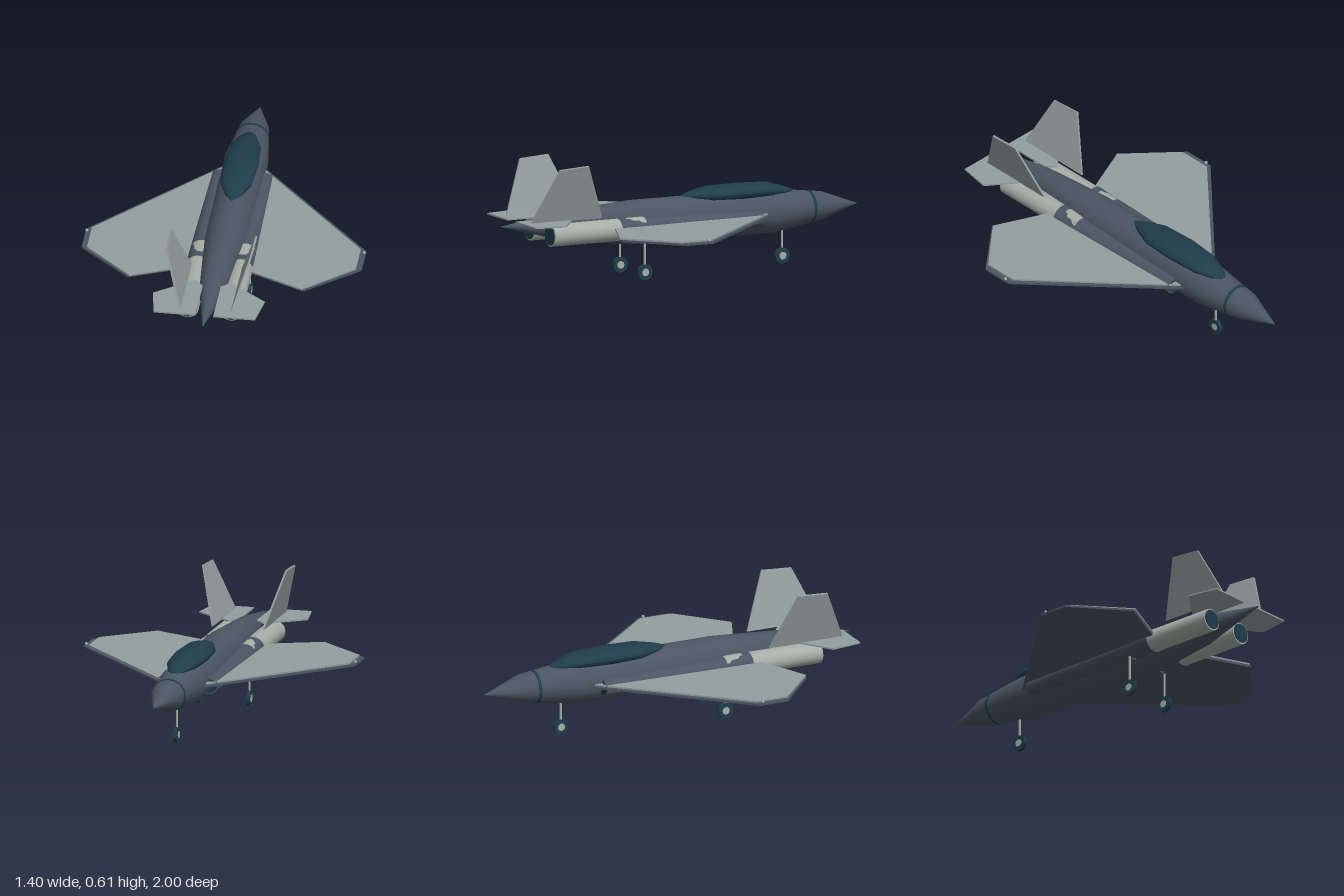
import * as THREE from 'three';
import { toCreasedNormals } from 'three/addons/utils/BufferGeometryUtils.js';

const mat = (name, color) => {
  const m = new THREE.MeshStandardMaterial({ color });
  m.name = name;
  return m;
};

// Closed skin through elliptical rings [z, cx, cy, rx, ry] in order of rising z
function loft(rings, sides = 20) {
  const pos = [], idx = [];
  for (const [z, cx, cy, rx, ry] of rings) {
    for (let j = 0; j < sides; j++) {
      const a = (j / sides) * Math.PI * 2;
      pos.push(cx + rx * Math.cos(a), cy + ry * Math.sin(a), z);
    }
  }
  for (let i = 0; i < rings.length - 1; i++) {
    for (let j = 0; j < sides; j++) {
      const a = i * sides + j, b = i * sides + (j + 1) % sides;
      idx.push(a, b, a + sides, b, b + sides, a + sides);
    }
  }
  const last = rings.length - 1;
  for (const i of [0, last]) {
    const [z, cx, cy] = rings[i];
    const c = pos.length / 3;
    pos.push(cx, cy, z);
    for (let j = 0; j < sides; j++) {
      const a = i * sides + j, b = i * sides + (j + 1) % sides;
      if (i === 0) idx.push(c, b, a);
      else idx.push(c, a, b);
    }
  }
  const g = new THREE.BufferGeometry();
  g.setAttribute('position', new THREE.Float32BufferAttribute(pos, 3));
  g.setIndex(idx);
  return toCreasedNormals(g, 0.5);
}

const extrude = (pts, depth) => new THREE.ExtrudeGeometry(
  new THREE.Shape(pts.map(([x, y]) => new THREE.Vector2(x, y))),
  { depth, bevelEnabled: false });

// Horizontal plate from an (x, z) outline, mirrored by s
const plate = (pts, s, top, thick) =>
  extrude(pts.map(([x, z]) => [s * x, z]), thick).rotateX(Math.PI / 2).translate(0, top, 0);

export function createModel() {
  const slate = mat('slate hull', 0x4b5563);
  const teal = mat('dark teal', 0x1f3d4a);
  const grey = mat('light grey panel', 0x949e9f);
  const metal = mat('pale metal', 0xa6aea8);

  const root = new THREE.Group();
  root.name = 'jet';
  const add = (name, geo, material, parent = root) => {
    const m = new THREE.Mesh(geo, material);
    m.name = name;
    parent.add(m);
    return m;
  };

  // Fuselage, nose pointing to -z
  add('fuselage', loft([
    [-1, 0, 0.27, 0.001, 0.001],
    [-0.8, 0, 0.275, 0.074, 0.07],
    [-0.52, 0, 0.27, 0.11, 0.11],
    [0.26, 0, 0.272, 0.105, 0.112],
    [0.64, 0, 0.284, 0.068, 0.077],
    [1, 0, 0.305, 0.001, 0.001],
  ]), slate);
  add('noseBand', loft([
    [-0.735, 0, 0.274, 0.0845, 0.0815],
    [-0.72, 0, 0.274, 0.0865, 0.0835],
  ]), teal);
  add('canopy', loft([
    [-0.635, 0, 0.362, 0.015, 0.008],
    [-0.6, 0, 0.366, 0.04, 0.018],
    [-0.5, 0, 0.376, 0.075, 0.04],
    [-0.33, 0, 0.379, 0.088, 0.043],
    [-0.16, 0, 0.379, 0.078, 0.041],
    [-0.06, 0, 0.378, 0.04, 0.022],
    [0, 0, 0.376, 0.003, 0.006],
  ]), teal);

  // Wheel, hub and strut
  function gear(name, x, z, top) {
    const g = new THREE.Group();
    g.name = name;
    g.position.set(x, 0, z);
    root.add(g);
    add('tyre', new THREE.CylinderGeometry(0.04, 0.04, 0.018, 20).rotateZ(Math.PI / 2).translate(0, 0.04, 0), teal, g);
    add('hub', new THREE.CylinderGeometry(0.019, 0.019, 0.022, 16).rotateZ(Math.PI / 2).translate(0, 0.04, 0), metal, g);
    add('strut', new THREE.CylinderGeometry(0.006, 0.006, top - 0.05, 10).translate(0, (top + 0.05) / 2, 0), metal, g);
  }
  gear('noseGear', 0, -0.58, 0.22);

  for (const s of [1, -1]) {
    const side = s > 0 ? 'left' : 'right';

    // Engine duct, exhaust pipe and dark openings
    add(side + 'Nacelle', loft([
      [-0.4, s * 0.11, 0.252, 0.05, 0.041],
      [0.4, s * 0.108, 0.26, 0.061, 0.057],
    ]), slate);
    add(side + 'Intake', loft([
      [-0.404, s * 0.11, 0.252, 0.043, 0.034],
      [-0.398, s * 0.11, 0.252, 0.043, 0.034],
    ]), teal);
    add(side + 'Engine', loft([
      [0.26, s * 0.108, 0.26, 0.057, 0.0558],
      [0.78, s * 0.108, 0.26, 0.057, 0.0558],
    ]), metal);
    add(side + 'Nozzle', loft([
      [0.776, s * 0.108, 0.26, 0.05, 0.049],
      [0.784, s * 0.108, 0.26, 0.05, 0.049],
    ]), teal);

    // Wing: slate base with a lighter panel on top
    add(side + 'Wing', plate([
      [0.08, -0.49], [0.11, -0.465], [0.7, 0.175], [0.7, 0.335], [0.44, 0.557], [0.12, 0.42], [0.08, 0.42],
    ], s, 0.269, 0.01), slate);
    add(side + 'WingPanel', plate([
      [0.09, -0.465], [0.11, -0.443], [0.672, 0.172], [0.672, 0.345], [0.43, 0.56], [0.12, 0.425], [0.09, 0.425],
    ], s, 0.277, 0.008), grey);
    add(side + 'WingTipLight', new THREE.SphereGeometry(0.008, 12, 8).translate(s * 0.693, 0.276, 0.2), metal);

    // Tailplane
    add(side + 'Tailplane', plate([
      [0.045, 0.68], [0.09, 0.64], [0.28, 0.78], [0.253, 0.94], [0.045, 0.94],
    ], s, 0.334, 0.008), grey);

    // Outward leaning fin, outline in (z, height)
    const fin = add(side + 'Fin',
      extrude([[0.5, 0], [0.9, 0], [0.78, 0.282], [0.62, 0.292]], 0.01)
        .rotateY(-Math.PI / 2).translate(0.005, 0, 0), grey);
    fin.position.set(s * 0.13, 0.332, 0);
    fin.rotation.z = -s * 0.295;

    gear(side + 'MainGear', s * 0.13, 0.26, 0.22);
  }
  return root;
}
